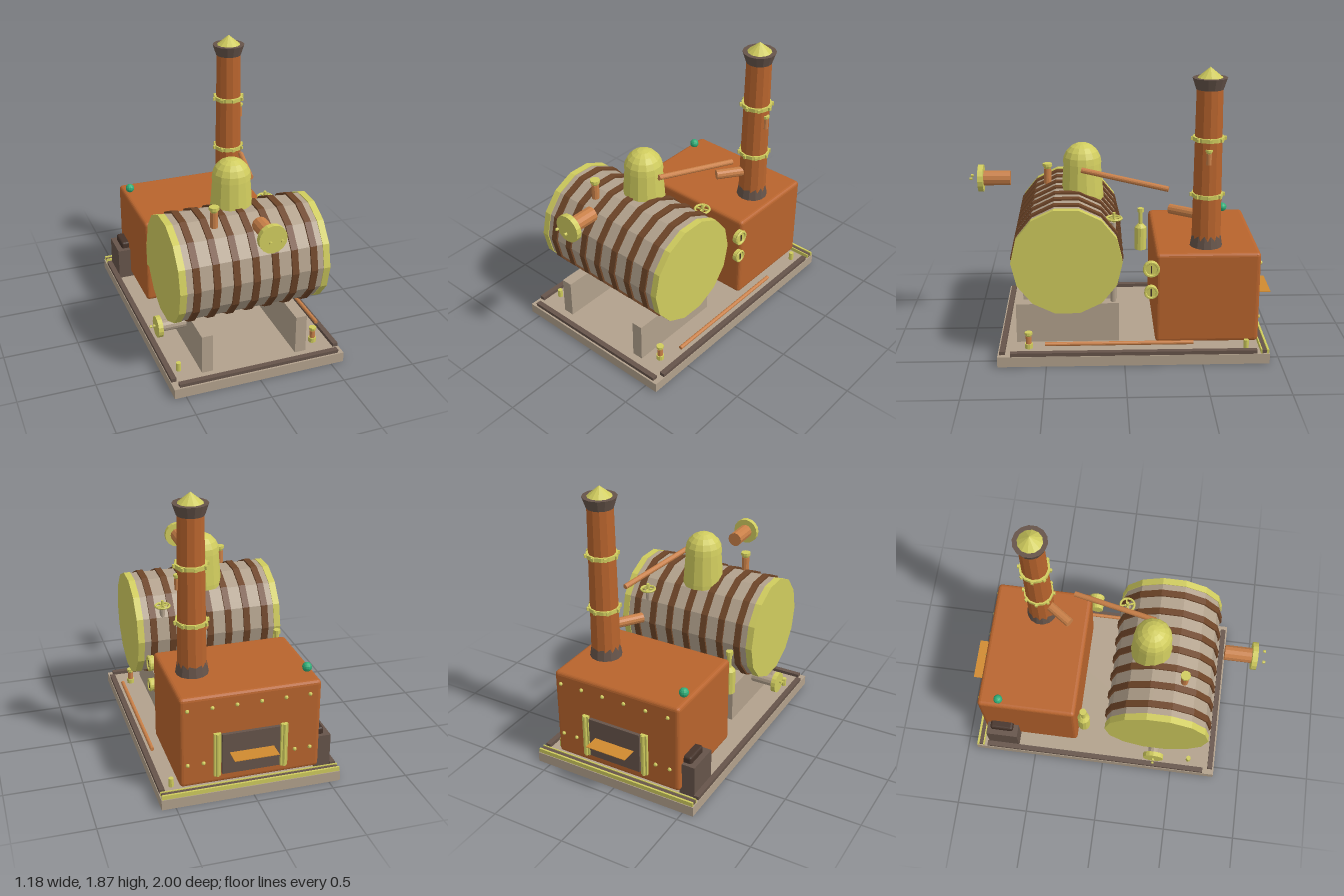
import * as THREE from 'three';
import { RoundedBoxGeometry } from 'three/addons/geometries/RoundedBoxGeometry.js';

const mat = (name, color) => {
  const m = new THREE.MeshStandardMaterial({ color, flatShading: true });
  m.name = name;
  return m;
};

export function createModel() {
  const root = new THREE.Group();
  root.name = 'steamBoiler';
  const orange = mat('rust orange', 0xb8642d);
  const copper = mat('copper', 0xc98048);
  const brass = mat('brass', 0xd0cc5e);
  const stone = mat('stone beige', 0xb2a18c);
  const strap = mat('strap brown', 0x6e4528);
  const iron = mat('dark iron', 0x66544a);
  const black = mat('soot', 0x45332a);
  const amber = mat('amber', 0xd08a30);
  const green = mat('green', 0x2fae78);

  const add = (name, geo, m, x = 0, y = 0, z = 0, parent = root) => {
    const mesh = new THREE.Mesh(geo, m);
    mesh.name = name;
    mesh.position.set(x, y, z);
    parent.add(mesh);
    return mesh;
  };
  // Box given by its lower and upper limits
  const box = (name, m, x0, x1, y0, y1, z0, z1) =>
    add(name, new THREE.BoxGeometry(x1 - x0, y1 - y0, z1 - z0), m, (x0 + x1) / 2, (y0 + y1) / 2, (z0 + z1) / 2);
  // Upright cylinder or frustum from y0 to y1
  const post = (name, m, x, z, y0, y1, r0, r1 = r0, n = 12) =>
    add(name, new THREE.CylinderGeometry(r1, r0, y1 - y0, n), m, x, (y0 + y1) / 2, z);
  // Cylinder between two points
  const rod = (name, m, a, b, r, n = 12) => {
    const p = new THREE.Vector3(...a), d = new THREE.Vector3(...b).sub(p);
    const mesh = add(name, new THREE.CylinderGeometry(r, r, d.length(), n), m);
    mesh.position.copy(p).addScaledVector(d, 0.5);
    mesh.quaternion.setFromUnitVectors(new THREE.Vector3(0, 1, 0), d.normalize());
    return mesh;
  };
  // Drum lying along x
  const drum = (name, m, x0, x1, r) =>
    add(name, new THREE.CylinderGeometry(r, r, x1 - x0, 14).rotateZ(-Math.PI / 2), m, (x0 + x1) / 2, 0.675, 0.362);

  // Base slab and raised rim
  box('baseSlab', stone, -0.574, 0.589, 0, 0.068, -0.93, 0.812);
  box('rimLeft', iron, 0.55, 0.585, 0.068, 0.092, -0.85, 0.73);
  box('rimRight', iron, -0.57, -0.535, 0.068, 0.092, -0.85, 0.73);
  box('rimFront', iron, -0.535, 0.555, 0.068, 0.09, 0.765, 0.8);
  box('rimBack', iron, -0.565, 0.58, 0.068, 0.09, -0.91, -0.882);
  box('backRail', brass, -0.57, 0.585, 0.068, 0.096, -0.925, -0.912);
  box('backRailInner', brass, -0.57, 0.585, 0.068, 0.096, -0.882, -0.874);
  for (const [x, z] of [[0.495, -0.79], [-0.485, 0.62], [-0.485, -0.79]]) {
    post('baseBolt', brass, x, z, 0.068, 0.125, 0.017, 0.017, 8);
  }

  // Boiler drum, end plates, straps and supports
  drum('boilerBody', stone, -0.46, 0.47, 0.347);
  drum('endPlateRight', brass, -0.495, -0.45, 0.352);
  drum('endPlateLeft', brass, 0.463, 0.507, 0.352);
  for (let i = 0; i < 7; i++) {
    const x = -0.384 + i * 0.13;
    drum('boilerStrap', strap, x - 0.022, x + 0.022, 0.36);
  }
  box('supportRight', stone, -0.355, -0.28, 0.068, 0.335, 0.03, 0.7);
  box('supportLeft', stone, 0.29, 0.365, 0.068, 0.335, 0.03, 0.7);

  // Steam dome
  const profile = [[0, 0.95], [0.138, 0.95], [0.138, 0.98], [0.122, 1.19]];
  for (let i = 0; i <= 5; i++) {
    const a = (i / 5) * Math.PI / 2;
    profile.push([i === 5 ? 0 : 0.127 * Math.cos(a), 1.19 + 0.132 * Math.sin(a)]);
  }
  add('steamDome', new THREE.LatheGeometry(profile.map(p => new THREE.Vector2(...p)), 14), brass, 0.004, 0, 0.262);

  // Firebox with rivets
  add('firebox', new RoundedBoxGeometry(0.904, 0.612, 0.67, 2, 0.025), orange, 0.006, 0.4, -0.537);
  const rivet = (x, y) => add('rivet', new THREE.SphereGeometry(0.013, 8, 6), brass, x, y, -0.874);
  for (let i = 0; i < 6; i++) rivet(0.41 - i * 0.156, 0.625);
  for (const x of [0.41, 0.31, -0.28, -0.38]) rivet(x, 0.25);

  // Fire door with side bars and shelf
  box('fireDoor', iron, -0.175, 0.195, 0.165, 0.44, -0.895, -0.86);
  for (const x of [-0.205, 0.225]) {
    box('doorBar', brass, x - 0.022, x + 0.022, 0.155, 0.45, -0.892, -0.86);
    rod('doorHingePin', brass, [x, 0.155, -0.894], [x, 0.45, -0.894], 0.011, 8);
  }
  box('doorShelf', amber, -0.135, 0.15, 0.308, 0.312, -1, -0.88);

  // Coal box beside the firebox
  box('coalBox', iron, -0.535, -0.43, 0.068, 0.29, -0.84, -0.62);
  add('coalBoxLid', new RoundedBoxGeometry(0.075, 0.06, 0.16, 2, 0.015), black, -0.46, 0.305, -0.735);

  // Green knob on the firebox
  add('greenKnob', new THREE.SphereGeometry(0.031, 12, 8), green, -0.4, 0.735, -0.73);

  // Chimney with foot, crown, cap and bolted bands
  const cx = 0.287, cz = -0.535;
  post('chimney', orange, cx, cz, 0.7, 1.74, 0.095, 0.083);
  post('chimneyFoot', iron, cx, cz, 0.7, 0.79, 0.106, 0.091, 14);
  post('chimneyCrown', iron, cx, cz, 1.728, 1.8, 0.086, 0.11, 14);
  post('chimneyCap', brass, cx, cz, 1.8, 1.866, 0.08, 0, 12);
  for (const y of [1.05, 1.417]) {
    post('chimneyBand', brass, cx, cz, y - 0.013, y + 0.013, 0.102);
    for (let i = 0; i < 8; i++) {
      const a = (i * Math.PI) / 4;
      const b = add('bandBolt', new THREE.BoxGeometry(0.018, 0.022, 0.02), brass,
        cx + 0.102 * Math.sin(a), y, cz + 0.102 * Math.cos(a));
      b.rotation.y = a;
    }
  }

  // Steam pipes
  rod('chimneyPipe', copper, [0.27, 0.906, -0.49], [0.145, 0.906, -0.31], 0.033);
  rod('steamPipe', copper, [0.135, 1.17, 0.265], [0.287, 1.083, -0.288], 0.018);
  rod('basePipe', copper, [0.532, 0.13, 0.508], [0.532, 0.13, -0.443], 0.013);

  // Flanged outlets at the front and the right side
  rod('frontOutlet', copper, [0.004, 1.085, 0.735], [0.004, 1.085, 0.92], 0.05);
  rod('frontFlange', brass, [0.004, 1.085, 0.91], [0.004, 1.085, 0.945], 0.09, 16);
  for (const s of [-1, 1]) {
    rod('frontFlangeBolt', brass, [0.004 + s * 0.037, 1.092, 0.982], [0.004 + s * 0.037, 1.092, 1], 0.009, 6);
    rod('sideFlangeBolt', brass, [-0.582 + s * 0.011, 0.26, 0.362], [-0.582 + s * 0.011 + 0.014, 0.26, 0.362], 0.009, 6);
  }
  rod('sideOutlet', stone, [-0.53, 0.25, 0.362], [-0.33, 0.25, 0.362], 0.038);
  rod('sideFlange', brass, [-0.552, 0.25, 0.362], [-0.52, 0.25, 0.362], 0.072, 16);

  // Small relief valves: pipe, flared collar and cap
  const valve = (x, y, z, h, r) => {
    post('valvePipe', copper, x, z, y, y + h * 0.75, r, r, 10);
    post('valveCollar', brass, x, z, y + h * 0.72, y + h * 0.88, r * 0.8, r * 1.2, 10);
    post('valveCap', brass, x, z, y + h * 0.86, y + h, r * 1.3, r * 1.3, 10);
  };
  valve(-0.2, 0.985, 0.5, 0.14, 0.025);
  valve(0.452, 0.068, 0.617, 0.11, 0.019);
  valve(0.372, 1.265, -0.53, 0.097, 0.017);
  post('valveFoot', brass, 0.452, 0.617, 0.068, 0.1, 0.026, 0.026, 10);

  // Hand wheel on its stem
  post('wheelStem', stone, 0.327, 0.066, 0.3, 0.88, 0.018, 0.018, 10);
  post('wheelHub', brass, 0.327, 0.06, 0.87, 0.945, 0.01, 0.01, 8);
  add('handWheel', new THREE.TorusGeometry(0.048, 0.008, 6, 16).rotateX(Math.PI / 2), brass, 0.327, 0.906, 0.06);
  for (let i = 0; i < 2; i++) {
    add('wheelSpoke', new THREE.BoxGeometry(0.094, 0.009, 0.01), brass, 0.327, 0.906, 0.06).rotation.y = i * Math.PI / 2 + 0.3;
  }

  // Whistle
  post('whistleBody', brass, -0.412, -0.147, 0.42, 0.585, 0.042, 0.042, 12);
  post('whistleShoulder', brass, -0.412, -0.147, 0.585, 0.61, 0.042, 0.02, 12);
  post('whistleStem', brass, -0.412, -0.147, 0.6, 0.71, 0.015, 0.015, 10);
  post('whistleCap', brass, -0.412, -0.147, 0.7, 0.727, 0.024, 0.024, 10);

  // Pressure gauges
  for (const [y, r] of [[0.612, 0.055], [0.455, 0.046]]) {
    rod('gaugeBody', brass, [0.447, y, -0.172], [0.478, y, -0.172], r * 0.92, 16);
    add('gaugeRing', new THREE.TorusGeometry(r * 0.82, r * 0.18, 6, 16).rotateY(Math.PI / 2), brass, 0.478, y, -0.172);
    box('gaugeNeedle', black, 0.478, 0.483, y - 0.024, y + 0.024, -0.176, -0.168);
  }
  return root;
}
